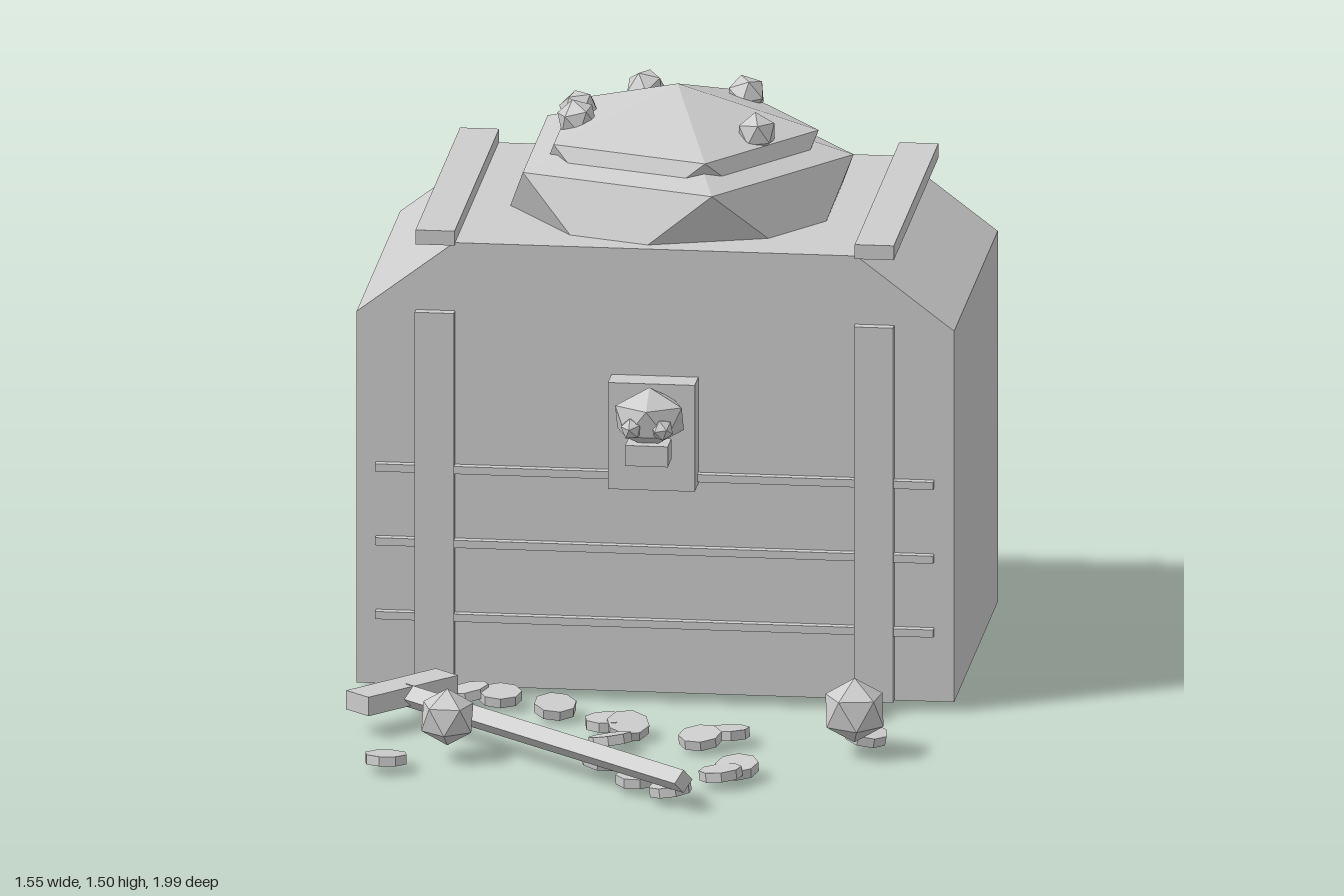
import * as THREE from 'three';

export function createModel() {
  const root = new THREE.Group();
  root.name = 'treasureChest';
  const gray = new THREE.MeshStandardMaterial({ color: 0xcccccc, flatShading: true });
  gray.name = 'plain gray';

  function add(name, geo, x, y, z, parent = root) {
    const m = new THREE.Mesh(geo, gray);
    m.name = name;
    m.position.set(x, y, z);
    parent.add(m);
    return m;
  }
  // box given by its limits on each axis
  function span(name, x0, x1, y0, y1, z0, z1) {
    return add(name, new THREE.BoxGeometry(x1 - x0, y1 - y0, z1 - z0),
      (x0 + x1) / 2, (y0 + y1) / 2, (z0 + z1) / 2);
  }
  // icosahedron standing on a vertex, with an upper ring corner at +x
  function gem(rx, ry = rx, rz = rx, turn = 0) {
    return new THREE.IcosahedronGeometry(1, 0)
      .rotateX(-Math.atan((1 + Math.sqrt(5)) / 2))
      .rotateY(Math.PI / 2 + turn)
      .scale(rx, ry, rz);
  }

  // chest body with sloping shoulders
  const profile = new THREE.Shape([
    [-0.755, 0.02], [0.773, 0.02], [0.773, 1.0], [0.523, 1.19], [-0.505, 1.19], [-0.755, 1.0],
  ].map(([x, y]) => new THREE.Vector2(x, y)));
  add('chestBody', new THREE.ExtrudeGeometry(profile, { depth: 0.925, bevelEnabled: false }), 0, 0, -0.945);

  // upright straps, lid slats and thin bands
  for (const x of [-0.603, 0.52]) {
    span('frontStrap', x, x + 0.1, 0.02, 1.01, -0.03, 0.006);
    span('lidSlat', x, x + 0.1, 1.185, 1.223, -0.955, -0.01);
  }
  for (const y of [0.195, 0.39, 0.585]) {
    span('frontBand', -0.705, 0.722, y, y + 0.02, -0.03, 0.002);
    span('backBand', -0.705, 0.722, y, y + 0.02, -0.972, -0.935);
  }

  // lock plate with a skull
  span('lockPlate', -0.103, 0.119, 0.575, 0.856, -0.03, 0.056);
  add('skull', gem(0.1, 0.08, 0.085, -Math.PI / 2), 0.008, 0.778, 0.095);
  span('skullJaw', -0.047, 0.062, 0.666, 0.72, 0.08, 0.155);
  for (const side of [-1, 1]) {
    const eye = add('skullEye', gem(0.03), 0.008 + side * 0.038, 0.763, 0.148);
    eye.rotation.set(0.4, side * 0.4, 0.2);
  }

  // heap of treasure on the lid
  add('heapLower', gem(0.503, 0.253, 0.503), 0.01, 1.21, -0.485);
  add('heapUpper', gem(0.403, 0.2, 0.403), 0.01, 1.295, -0.485);
  [[-0.1, -0.72], [0.16, -0.695], [-0.245, -0.51], [-0.24, -0.425], [0.228, -0.355]].forEach(([x, z], i) => {
    const g = add('heapGem', gem(0.053), x, 1.41, z);
    g.rotation.set(0.4 + i, i * 1.3, 0.3);
  });

  // gems on the ground
  add('groundGem', gem(0.075, 0.075, 0.075, 0.3), -0.452, 0.107, 0.567);
  add('groundGem', gem(0.085, 0.085, 0.085, 0.5), 0.57, 0.115, 0.41);

  // sword lying in front; its local +x runs toward the tip
  const sword = new THREE.Group();
  sword.name = 'sword';
  sword.position.set(-0.605, 0.078, 0.257);
  sword.rotation.y = -0.724;
  root.add(sword);
  add('swordGuard', new THREE.BoxGeometry(0.085, 0.05, 0.304), 0, 0, 0, sword);
  add('swordBlade', new THREE.BoxGeometry(1.06, 0.043, 0.043).rotateX(Math.PI / 4), 0.545, -0.004, 0, sword);

  // scattered coins, some partly under the chest
  const coin = new THREE.CylinderGeometry(0.055, 0.055, 0.025, 8);
  const spots = [
    [-0.46, 0.06], [-0.375, 0.08], [-0.555, 0.12], [-0.225, 0.165], [-0.5, 0.215], [-0.08, 0.29],
    [-0.02, 0.32], [-0.05, 0.445], [0.175, 0.405], [0.24, 0.35], [0.54, 0.055], [0.59, 0.325],
    [-0.595, 0.685], [-0.05, 0.62], [0.3, 0.66], [0.265, 0.72], [0.06, 0.79], [0.155, 0.875],
    [-0.55, -0.02], [-0.72, -0.23], [0.14, -0.945], [-0.4, -0.25], [-0.1, -0.2], [0.3, -0.15],
    [0.5, -0.35], [0.15, -0.4], [-0.25, -0.5], [-0.5, -0.6], [0.05, -0.65], [0.4, -0.7], [-0.2, -0.8],
  ];
  spots.forEach(([x, z], i) => {
    const c = add('coin', coin, x, 0.027, z);
    c.rotation.set(0.2 * Math.sin(i * 2.4), i * 0.9, 0.2 * Math.cos(i * 1.7));
  });

  return root;
}
